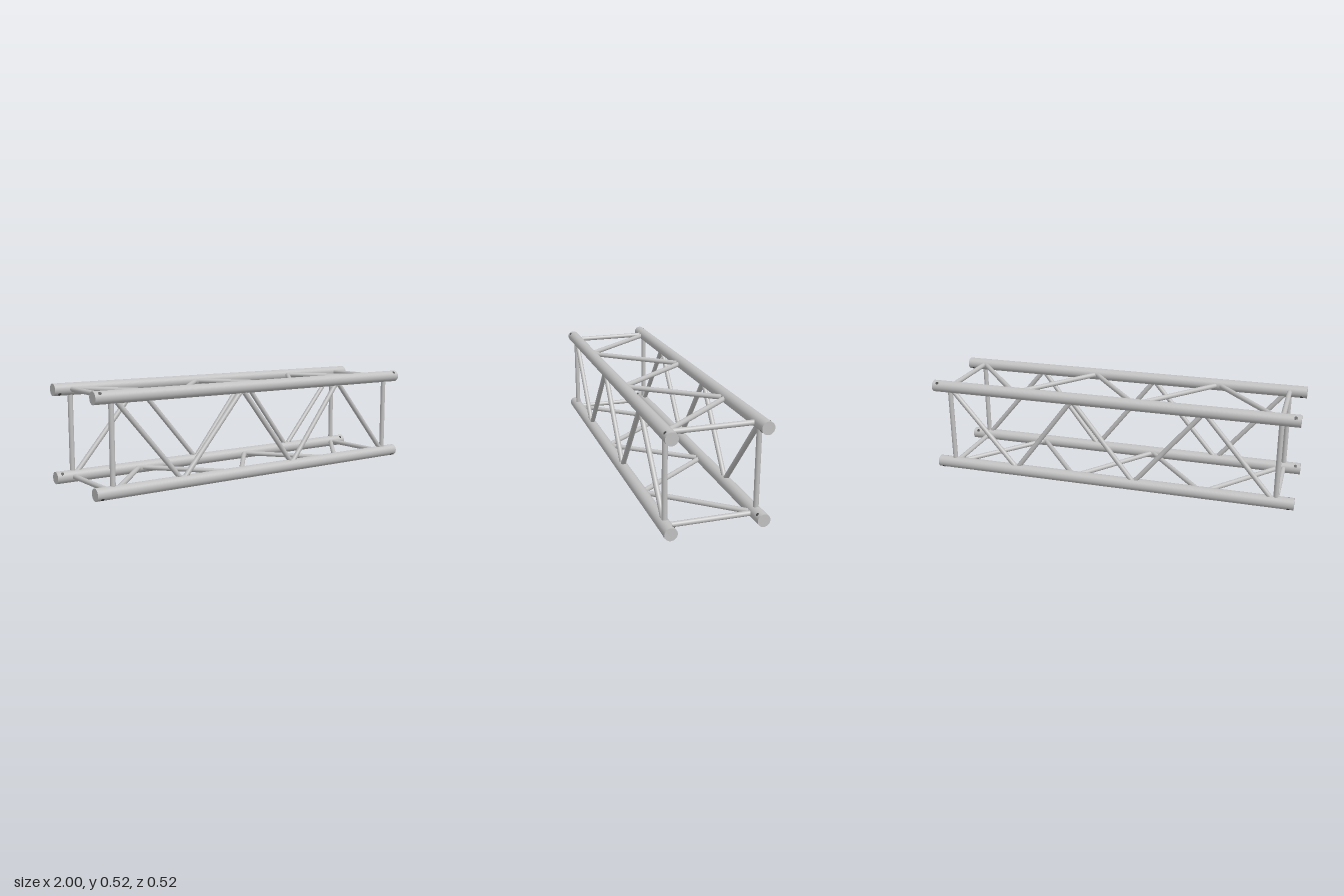
import * as THREE from 'three';

const CHORD_R = 0.032;   // main tube radius
const BRACE_R = 0.0132;  // strut and diagonal radius
const OFFSET = 0.227;    // chord centre distance from the truss axis
const REACH = 0.195;     // half of the clear span between chords

const aluminium = new THREE.MeshStandardMaterial({ color: 0xc0c0c0 });
const holeDark = new THREE.MeshStandardMaterial({ color: 0x4c4c4c });

// Solid round bar between two points, lengthened by `extra` at each end
function bar(name, a, b, radius, material, segments, extra = 0) {
  const dir = b.clone().sub(a);
  const length = dir.length() + 2 * extra;
  const mesh = new THREE.Mesh(new THREE.CylinderGeometry(radius, radius, length, segments), material);
  mesh.position.copy(a).add(b).multiplyScalar(0.5);
  mesh.quaternion.setFromUnitVectors(new THREE.Vector3(0, 1, 0), dir.normalize());
  mesh.name = name;
  return mesh;
}

const v = (x, y, z) => new THREE.Vector3(x, y, z);

// One lattice side, lying in the plane z = OFFSET
function lattice() {
  const side = new THREE.Group();
  for (const x of [-0.906, 0.906]) {
    side.add(bar('endStrut', v(x, -REACH, OFFSET), v(x, REACH, OFFSET), BRACE_R, aluminium, 24, 0.003));
  }
  const spans = [[-0.87, -0.54], [-0.495, -0.165], [-0.13, 0.178], [0.212, 0.51], [0.548, 0.88]];
  spans.forEach(([x0, x1], i) => {
    const y = i % 2 ? -REACH : REACH;
    side.add(bar('diagonal', v(x0, y, OFFSET), v(x1, -y, OFFSET), BRACE_R, aluminium, 24, 0.008));
  });
  return side;
}

// One corner tube with a diagonal pin hole near each end
function chord() {
  const corner = new THREE.Group();
  corner.add(bar('chordTube', v(-1, OFFSET, OFFSET), v(1, OFFSET, OFFSET), CHORD_R, aluminium, 40));
  const d = (CHORD_R + 0.0004) * Math.SQRT1_2;
  for (const x of [-0.972, 0.972]) {
    corner.add(bar('pinHole', v(x, OFFSET - d, OFFSET - d), v(x, OFFSET + d, OFFSET + d), 0.0085, holeDark, 20));
  }
  return corner;
}

export function createModel() {
  const truss = new THREE.Group();
  truss.name = 'boxTruss';

  // Each side and corner repeats by quarter turns about the long axis
  const sides = ['front', 'top', 'back', 'bottom'];
  sides.forEach((name, i) => {
    const side = lattice();
    side.name = name + 'Lattice';
    const corner = chord();
    corner.name = 'chord' + (i + 1);
    side.rotation.x = corner.rotation.x = -i * Math.PI / 2;
    truss.add(side, corner);
  });

  truss.position.y = OFFSET + CHORD_R;
  const model = new THREE.Group();
  model.name = 'trussSegment';
  model.add(truss);
  return model;
}
